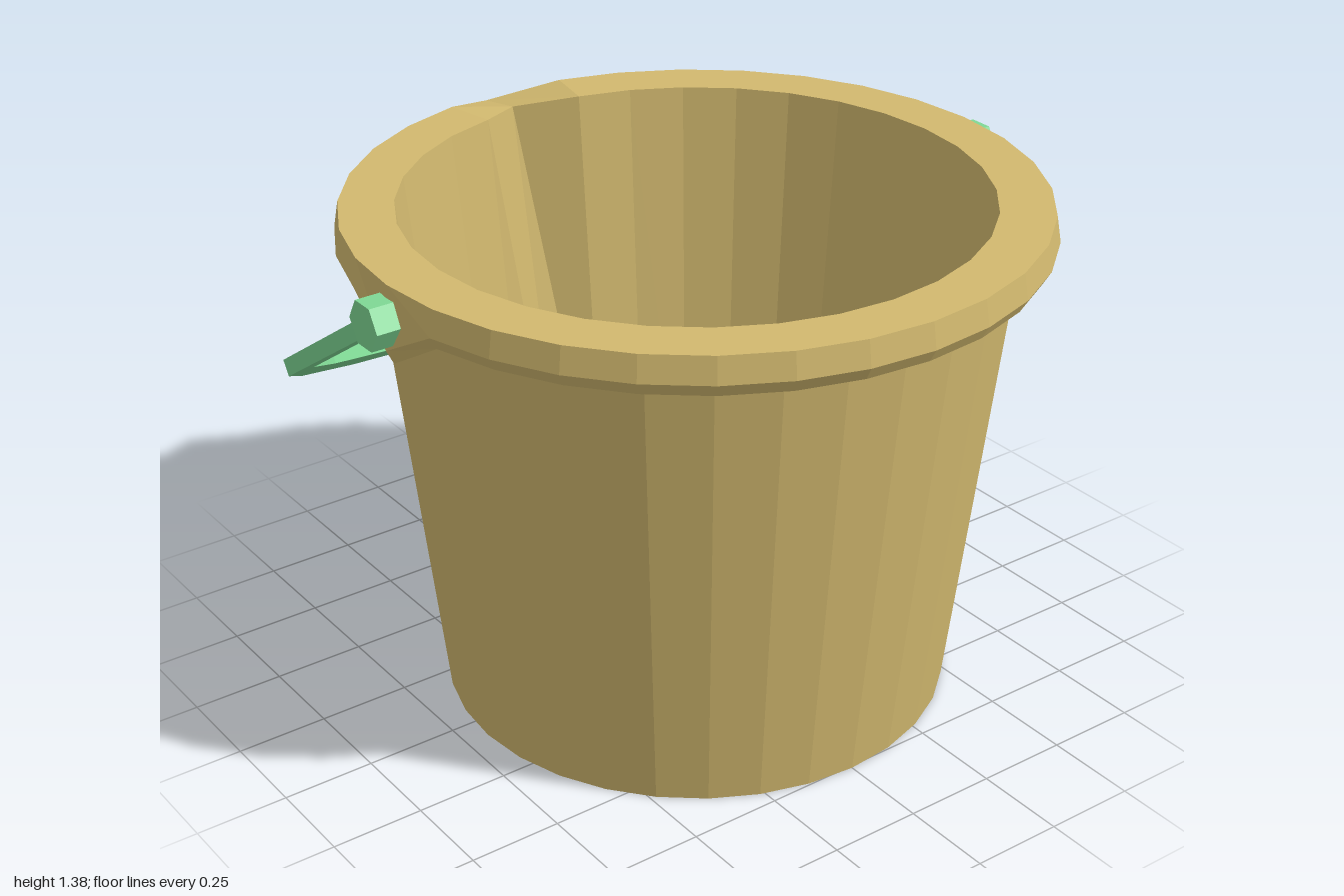
import * as THREE from 'three';

const CENTRE_Z = 0.073;
const SIDES = 32;
const PIVOT_Y = 1.29;

const bucketMaterial = new THREE.MeshStandardMaterial({ color: 0xd2b96f, flatShading: true, side: THREE.DoubleSide });
const handleMaterial = new THREE.MeshStandardMaterial({ color: 0x7fd894, flatShading: true });

// Turned ring whose back column forms the spout and whose side columns drop into lugs.
// Each row: radius, y, spout radius, spout y, lug y
function turned(name, rows) {
  const geometry = new THREE.LatheGeometry(rows.map(([r, y]) => new THREE.Vector2(r, y)), SIDES);
  const position = geometry.attributes.position;
  const back = SIDES / 2;
  rows.forEach(([r, y, spoutR = r, spoutY = y, lugY = y], j) => {
    position.setXYZ(back * rows.length + j, 0, spoutY, -spoutR);
    for (const side of [SIDES / 4, SIDES * 3 / 4]) position.setY(side * rows.length + j, lugY);
  });
  geometry.computeVertexNormals();
  const mesh = new THREE.Mesh(geometry, bucketMaterial);
  mesh.name = name;
  mesh.position.z = CENTRE_Z;
  return mesh;
}

function createHandle() {
  const handle = new THREE.Group();
  handle.name = 'handle';

  // Half outline of the bail: distance from the middle, distance from the pivot
  const outer = [[0.965, 0], [0.905, 0.67], [0.8, 0.83], [0.55, 1.03], [0.2, 1.18], [0, 1.25]];
  const inner = [[0, 1.03], [0.18, 1.02], [0.48, 0.89], [0.74, 0.73], [0.86, 0.6], [0.925, 0]];
  const mirrored = (points) => points.map(([x, s]) => [-x, s]).reverse();
  const outline = [...outer, ...mirrored(outer).slice(1), ...mirrored(inner), ...inner.slice(1)];
  const shape = new THREE.Shape(outline.map(([x, s]) => new THREE.Vector2(x, s)));
  const thickness = 0.045;
  const geometry = new THREE.ExtrudeGeometry(shape, { depth: thickness, bevelEnabled: false });
  geometry.translate(0, 0, -thickness / 2);
  const bail = new THREE.Mesh(geometry, handleMaterial);
  bail.name = 'bail';
  bail.rotation.x = Math.atan2(-0.84, -0.542);
  handle.add(bail);

  // Hexagonal pivots through the lugs
  for (const side of [-1, 1]) {
    const pivot = new THREE.Mesh(new THREE.CylinderGeometry(0.065, 0.065, 0.135, 6), handleMaterial);
    pivot.name = side > 0 ? 'leftPivot' : 'rightPivot';
    pivot.rotation.set(0.0, 0, Math.PI / 2);
    pivot.position.x = side * 0.9075;
    handle.add(pivot);
  }
  handle.position.set(0, PIVOT_Y, CENTRE_Z - 0.003);
  return handle;
}

export function createModel() {
  const model = new THREE.Group();
  model.name = 'bucket';

  // Outer wall with its closed base
  model.add(turned('outerWall', [[0, 0], [0.685, 0], [0.825, 1.28, 0.872, 1.26], [0.832, 1.35, 0.885, 1.3]]));

  // Rim: underside, hanging skirt and flat top
  model.add(turned('rim', [
    [0.832, 1.35, 0.885, 1.3],
    [0.885, 1.35, 0.96, 1.28],
    [0.9, 1.275, 0.99, 1.215, 1.17],
    [0.92, 1.31, 1.02, 1.25, 1.21],
    [0.908, 1.38, 1.0, 1.325],
    [0.765, 1.38, 0.86, 1.35],
  ]));

  // Inner wall and floor
  model.add(turned('innerWall', [[0.765, 1.38, 0.86, 1.35], [0.625, 0.03], [0, 0.03]]));

  model.add(createHandle());
  return model;
}
